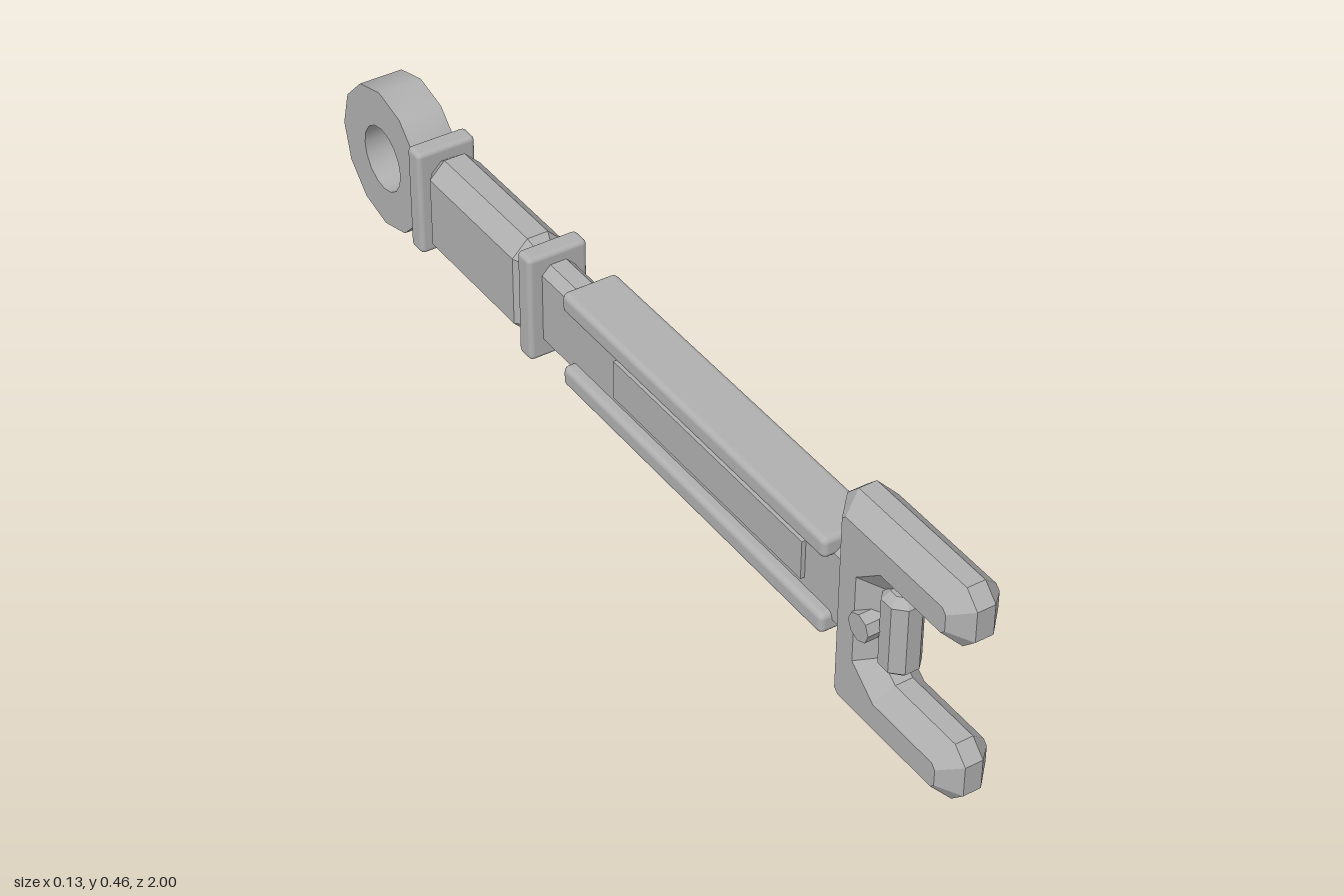
import * as THREE from 'three';
import { toCreasedNormals } from 'three/addons/utils/BufferGeometryUtils.js';
import { RoundedBoxGeometry } from 'three/addons/geometries/RoundedBoxGeometry.js';

const CY = 0.23; // height of the long axis

export function createModel() {
  const model = new THREE.Group();
  model.name = 'forkedLinkRod';
  const metal = new THREE.MeshStandardMaterial({ color: 0xb0b0b0 });
  metal.name = 'grey metal';

  const add = (name, geometry, x = 0, y = 0, z = 0) => {
    const mesh = new THREE.Mesh(geometry, metal);
    mesh.name = name;
    mesh.position.set(x, y, z);
    model.add(mesh);
    return mesh;
  };
  const polygon = (pts) => new THREE.Shape(pts.map(([a, b]) => new THREE.Vector2(a, b)));

  // Profile in (z, y), extruded symmetrically along x, with chamfered edges
  const sideExtrude = (shape, halfWidth, chamfer = 0) => {
    const depth = 2 * (halfWidth - chamfer);
    const g = new THREE.ExtrudeGeometry(shape, {
      depth, bevelEnabled: chamfer > 0, bevelThickness: chamfer, bevelSize: chamfer,
      bevelOffset: -chamfer, bevelSegments: 1,
    });
    g.translate(0, 0, -depth / 2);
    return g.rotateY(-Math.PI / 2);
  };

  // Chamfered bar along z, with tapered ends
  const bar = (name, w, h, c, z0, z1, taper, inset) => {
    const shape = polygon([
      [w, -h + c], [w, h - c], [w - c, h], [-w + c, h],
      [-w, h - c], [-w, -h + c], [-w + c, -h], [w - c, -h],
    ]);
    const g = new THREE.ExtrudeGeometry(shape, {
      depth: z1 - z0 - 2 * taper, bevelEnabled: taper > 0, bevelThickness: taper,
      bevelSize: inset, bevelOffset: -inset, bevelSegments: 1,
    });
    add(name, g, 0, CY, z0 + taper);
  };

  // C-shaped fork: upper half outline, mirrored below
  const upper = [
    [0.65, 0.2], [0.68, 0.23], [0.97, 0.23], [1.0, 0.2],
    [1.0, 0.137], [0.97, 0.107], [0.805, 0.107], [0.765, 0.075],
  ];
  const lower = upper.map(([z, y]) => [z, -y]).reverse();
  const forkOutline = [...upper, ...lower].reverse().map(([z, y]) => [z, y + CY]);
  add('fork', sideExtrude(polygon(forkOutline), 0.053, 0.035));

  // Upright pin block between the arms
  const k = 1 / Math.cos(Math.PI / 8);
  const pin = new THREE.CylinderGeometry(0.035 * k, 0.035 * k, 0.14, 8, 1, true).toNonIndexed();
  pin.rotateY(Math.PI / 8);
  pin.computeVertexNormals();
  add('pinBody', pin, 0, CY, 0.79);
  for (const s of [1, -1]) {
    const cap = new THREE.CylinderGeometry(0.02 * k, 0.035 * k, 0.015, 8).toNonIndexed();
    cap.rotateY(Math.PI / 8);
    if (s < 0) cap.rotateX(Math.PI);
    cap.computeVertexNormals();
    add(s > 0 ? 'pinTop' : 'pinBottom', cap, 0, CY + s * 0.0775, 0.79);
  }

  // Cross bolt through the fork
  const bolt = new THREE.CylinderGeometry(0.028, 0.028, 0.118, 8).toNonIndexed();
  bolt.rotateZ(Math.PI / 2);
  bolt.computeVertexNormals();
  add('crossBolt', bolt, 0, CY, 0.75);

  // Shaft and the wider sleeve behind it
  bar('shaft', 0.035, 0.09, 0.018, -0.33, 0.67, 0, 0);
  bar('sleeve', 0.055, 0.107, 0.033, -0.675, -0.315, 0.03, 0.022);
  bar('neck', 0.035, 0.08, 0.018, -0.74, -0.65, 0, 0);

  // Rails above and below the shaft
  for (const s of [1, -1]) {
    add(s > 0 ? 'topRail' : 'bottomRail',
      new RoundedBoxGeometry(0.116, 0.043, 0.817, 2, 0.012), 0, CY + 0.005 + s * 0.083, 0.2375);
  }

  // Raised side panels
  for (const s of [1, -1]) {
    add(s > 0 ? 'leftPanel' : 'rightPanel',
      new THREE.BoxGeometry(0.009, 0.082, 0.585), s * 0.039, CY + 0.003, 0.2725);
  }

  // Collars
  for (const [name, z] of [['frontCollar', -0.295], ['rearCollar', -0.695]]) {
    add(name, new RoundedBoxGeometry(0.126, 0.23, 0.043, 2, 0.01), 0, CY, z);
  }

  // Eye ring at the rear
  const circle = (r, n) => Array.from({ length: n }, (_, i) => {
    const a = (i / n) * Math.PI * 2;
    return [r * Math.cos(a), r * Math.sin(a)];
  });
  const ring = polygon(circle(0.152, 12));
  ring.holes.push(polygon(circle(0.069, 16).reverse()));
  add('eyeRing', toCreasedNormals(sideExtrude(ring, 0.046), 0.6), 0, CY + 0.003, -0.848);

  return model;
}
